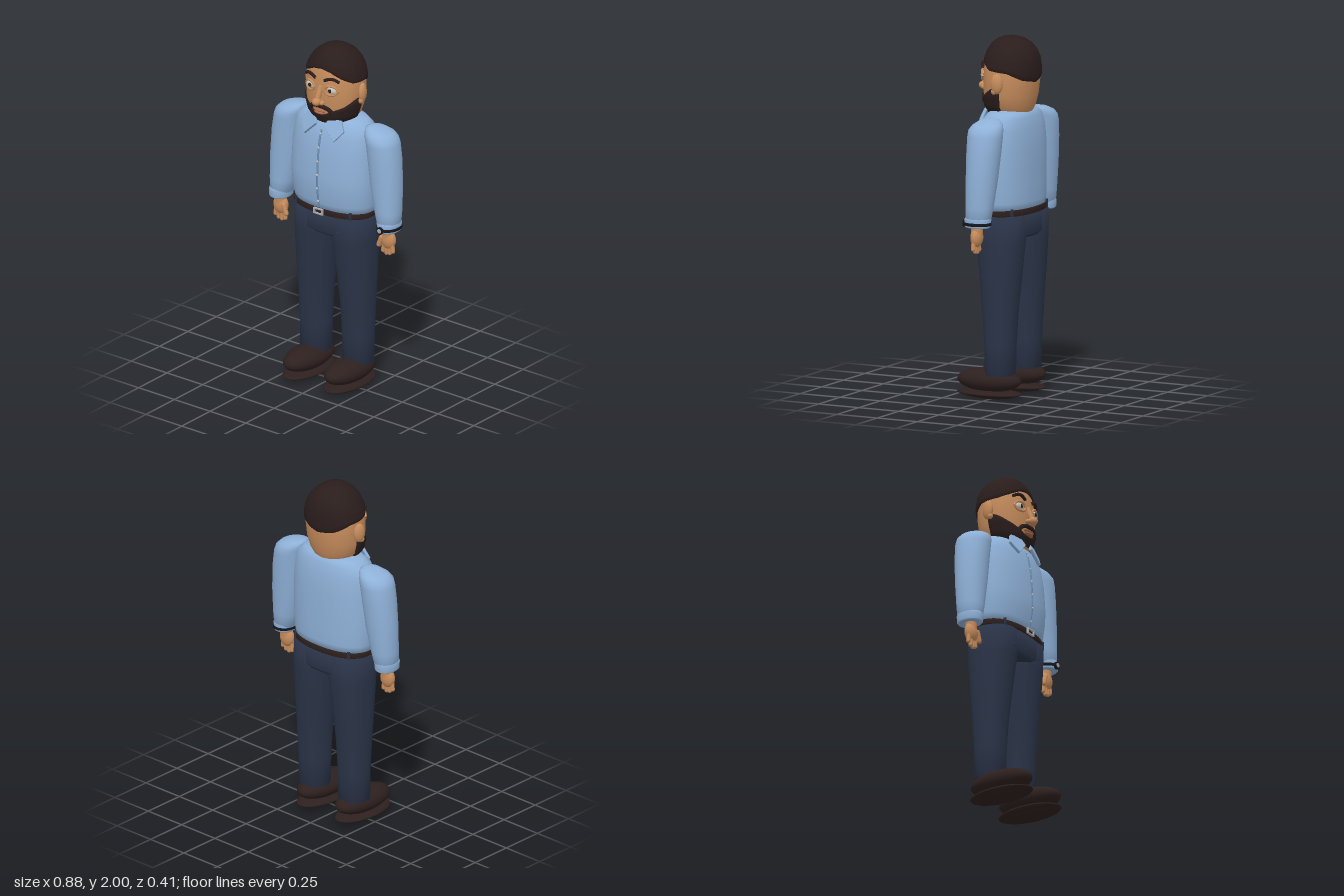
import * as THREE from 'three';

const mat = (name, color) => Object.assign(new THREE.MeshStandardMaterial({ color }), { name });

// Point on a ring [y, cx, rx, zFront, zBack]; angle 0 is the front, n squares the oval
function ringPoint([y, cx, rx, zf, zb], t, n = 2, grow = 0) {
  const p = (v) => Math.sign(v) * Math.abs(v) ** (2 / n);
  return [cx + (rx + grow) * p(Math.sin(t)), y, (zf + zb) / 2 + ((zf - zb) / 2 + grow) * p(Math.cos(t))];
}

// Interpolate a table of rows by its first column
function sample(rows, y) {
  let i = 0;
  while (i < rows.length - 2 && rows[i + 1][0] < y) i++;
  const k = THREE.MathUtils.clamp((y - rows[i][0]) / (rows[i + 1][0] - rows[i][0]), 0, 1);
  return rows[i].map((v, j) => v + (rows[i + 1][j] - v) * k);
}

// Surface over a grid of points; closed in the around direction if asked
function grid(rows, cols, closed, point) {
  const pos = [], idx = [], w = closed ? cols : cols + 1;
  for (let i = 0; i <= rows; i++) for (let j = 0; j < w; j++) pos.push(...point(i / rows, j / cols, i));
  for (let i = 0; i < rows; i++) for (let j = 0; j < cols; j++) {
    const a = i * w + j, b = i * w + (j + 1) % w, c = a + w, d = b + w;
    idx.push(a, b, d, a, d, c);
  }
  const g = new THREE.BufferGeometry();
  g.setAttribute('position', new THREE.Float32BufferAttribute(pos, 3));
  g.setIndex(idx);
  g.computeVertexNormals();
  return g;
}

// Closed body through rings listed bottom to top, with both ends capped
function loft(rings, n = 2, seg = 40) {
  const cap = (r) => [r[0], r[1], 0.001, (r[3] + r[4]) / 2 + 0.001, (r[3] + r[4]) / 2 - 0.001];
  const all = [cap(rings[0]), ...rings, cap(rings[rings.length - 1])];
  return grid(all.length - 1, seg, true, (u, v, i) => ringPoint(all[i], v * Math.PI * 2, n));
}

const TORSO = [
  [1.05, 0, 0.25, 0.095, -0.195], [1.1, 0, 0.26, 0.108, -0.2], [1.18, 0, 0.267, 0.118, -0.2],
  [1.25, 0, 0.27, 0.12, -0.2], [1.4, 0, 0.266, 0.11, -0.2], [1.5, 0, 0.256, 0.092, -0.19],
  [1.56, 0, 0.237, 0.07, -0.175], [1.59, 0, 0.19, 0.045, -0.16], [1.605, 0, 0.12, 0.02, -0.13]];
const SLEEVE = [
  [1.0, 0.378, 0.056, 0.03, -0.11], [1.1, 0.366, 0.075, 0.031, -0.122], [1.25, 0.35, 0.09, 0.036, -0.138],
  [1.4, 0.335, 0.094, 0.04, -0.15], [1.49, 0.322, 0.092, 0.042, -0.155], [1.525, 0.312, 0.09, 0.04, -0.152],
  [1.55, 0.295, 0.08, 0.025, -0.14], [1.57, 0.27, 0.055, 0, -0.115], [1.578, 0.25, 0.02, -0.03, -0.08]];
const LEG = [
  [0.14, 0.147, 0.088, 0.025, -0.14], [0.3, 0.147, 0.089, 0.028, -0.143], [0.5, 0.146, 0.096, 0.042, -0.156],
  [0.7, 0.139, 0.11, 0.062, -0.174], [0.88, 0.13, 0.121, 0.082, -0.189], [1.03, 0.126, 0.123, 0.09, -0.19]];
const HEAD = [
  [1.55, 0, 0.09, 0.05, -0.14], [1.58, 0, 0.118, 0.072, -0.158], [1.62, 0, 0.148, 0.088, -0.173],
  [1.68, 0, 0.166, 0.096, -0.187], [1.76, 0, 0.172, 0.098, -0.196], [1.83, 0, 0.17, 0.094, -0.197],
  [1.88, 0, 0.157, 0.086, -0.192], [1.92, 0, 0.135, 0.074, -0.178], [1.955, 0, 0.104, 0.052, -0.152],
  [1.98, 0, 0.066, 0.02, -0.115], [1.99, 0, 0.03, -0.015, -0.08]];
// Angle from the front, height of the hair edge, height of the beard edge
const HAIRLINE = [[0, 1.895], [0.35, 1.885], [0.8, 1.85], [1.2, 1.825], [1.9, 1.815], [2.5, 1.775], [3.15, 1.755]];
const BEARDLINE = [[0, 1.632], [0.2, 1.635], [0.4, 1.655], [0.9, 1.69], [1.3, 1.725], [1.65, 1.74]];

export function createModel() {
  const skin = mat('skin', 0xc68c5c), hairMat = mat('hair', 0x2a1d1c), shirt = mat('shirt', 0x8fb1d8);
  const navy = mat('trousers', 0x2a3347), leather = mat('leather', 0x2d201e), silver = mat('silver', 0xa9adb3);
  const black = mat('black', 0x16161a), white = mat('eyeWhite', 0xc9c5bd), lip = mat('lips', 0xa86a4c);
  const seam = mat('shirtSeam', 0x6f8fb5);
  hairMat.side = THREE.DoubleSide;

  const root = new THREE.Group();
  root.name = 'man';
  const add = (name, geo, material, x = 0, y = 0, z = 0) => {
    const m = new THREE.Mesh(geo, material);
    m.name = name;
    m.position.set(x, y, z);
    root.add(m);
    return m;
  };
  const ball = (name, material, x, y, z, rx, ry, rz) => {
    const m = add(name, new THREE.SphereGeometry(1, 28, 18), material, x, y, z);
    m.scale.set(rx, ry, rz);
    return m;
  };
  const tube = (name, material, pts, r) => add(name, new THREE.TubeGeometry(
    new THREE.CatmullRomCurve3(pts.map((p) => new THREE.Vector3(...p))), 24, r, 8), material);
  const frontZ = (rows, x, y, n) => {
    const r = sample(rows, y);
    return (r[3] + r[4]) / 2 + (r[3] - r[4]) / 2 * (1 - Math.abs(x / r[2]) ** n) ** (1 / n);
  };

  // Torso, trousers top and belt
  add('shirtBody', loft(TORSO, 2.3, 56), shirt);
  add('hips', loft([[0.9, 0, 0.2, 0.07, -0.18], [0.92, 0, 0.247, 0.09, -0.192], [1.035, 0, 0.25, 0.096, -0.195]], 2.3, 56), navy);
  const belt = [[1.03, 0, 0.25, 0.1, -0.198], [1.035, 0, 0.256, 0.106, -0.203],
    [1.06, 0, 0.256, 0.106, -0.203], [1.065, 0, 0.25, 0.1, -0.198]];
  add('belt', loft(belt, 2.3, 56), leather);
  for (const [x, y, w, h] of [[0, 1.062, 0.062, 0.007], [0, 1.034, 0.062, 0.007], [0.028, 1.048, 0.007, 0.034], [-0.028, 1.048, 0.007, 0.034]])
    add('buckle', new THREE.BoxGeometry(w, h, 0.012), silver, x, y, 0.11);

  // Shirt front with buttons
  const ys = [1.08, 1.18, 1.25, 1.4, 1.5, 1.53];
  tube('placket', seam, ys.map((y) => [0, y, frontZ(TORSO, 0, y, 2.3)]), 0.006);
  for (let i = 0; i < 6; i++) {
    const y = 1.11 + i * 0.08;
    ball('button', white, 0, y, frontZ(TORSO, 0, y, 2.3) + 0.005, 0.007, 0.007, 0.004);
  }

  // Head, hair with combed ridges at the front, beard
  add('head', loft(HEAD, 2.15, 56), skin);
  add('hair', grid(22, 200, true, (u, v) => {
    const t = v * Math.PI * 2, a = Math.min(t, Math.PI * 2 - t);
    const low = sample(HAIRLINE, a)[1], y = low + (1.99 - low) * Math.sin(u * Math.PI / 2);
    const ridge = 0.002 * Math.sin(t * 50 + y * 60) * Math.max(0, Math.cos(t)) * (1 - u);
    const p = ringPoint(sample(HEAD, y), t, 2.15, u === 0 ? 0 : 0.008 + ridge);
    return u === 1 ? [0, 2, -0.048] : [p[0], p[1] + 0.009 * u, p[2]];
  }), hairMat);
  add('beard', grid(12, 60, false, (u, v) => {
    const t = (v - 0.5) * 3.3, top = sample(BEARDLINE, Math.abs(t))[1];
    const edge = u === 1 || v === 0 || v === 1;
    return ringPoint(sample(HEAD, 1.575 + (top - 1.575) * u), t, 2.15, edge ? -0.001 : 0.009);
  }), hairMat);

  // Nose and mouth
  tube('noseBridge', skin, [[0, 1.8, 0.088], [0, 1.76, 0.105], [0, 1.72, 0.122]], 0.016);
  ball('noseTip', skin, 0, 1.713, 0.125, 0.025, 0.023, 0.029);
  ball('upperLip', lip, 0, 1.655, 0.1, 0.042, 0.008, 0.016);
  ball('lowerLip', lip, 0, 1.641, 0.099, 0.036, 0.009, 0.017);

  for (const s of [-1, 1]) {
    // Face details
    ball('nostril', skin, s * 0.023, 1.707, 0.11, 0.016, 0.014, 0.018);
    tube('moustache', hairMat, [[0, 1.681, 0.103], [s * 0.03, 1.68, 0.102], [s * 0.06, 1.667, 0.092], [s * 0.078, 1.64, 0.08]], 0.012);
    ball('eyeball', white, s * 0.072, 1.786, 0.075, 0.034, 0.026, 0.025);
    ball('iris', leather, s * 0.07, 1.786, 0.098, 0.011, 0.011, 0.004);
    for (const [name, dir] of [['upperLid', 1], ['lowerLid', -1]])
      tube(name, skin, [-1, -0.6, 0, 0.6, 1].map((k) => [s * 0.072 + k * 0.038, 1.786 + dir * 0.027 * Math.sqrt(1 - k * k), 0.094 - 0.012 * k * s * s - 0.006 * k * k + (s < 0 ? 0.024 * k : 0)]), 0.007);
    tube('eyebrow', hairMat, [[s * 0.03, 1.838, 0.096], [s * 0.065, 1.854, 0.093], [s * 0.09, 1.853, 0.083], [s * 0.115, 1.838, 0.07]], 0.009);
    ball('ear', skin, s * 0.18, 1.757, -0.052, 0.022, 0.056, 0.034).rotation.y = s * 0.25;
    ball('earLobe', skin, s * 0.183, 1.715, -0.035, 0.014, 0.018, 0.016);

    // Collar flap
    const flap = new THREE.Shape([[0.045, 1.605], [0.115, 1.605], [0.142, 1.55], [0.1, 1.487], [0.028, 1.555]]
      .map(([x, y]) => new THREE.Vector2(s * (x - 0.085), y - 1.55)));
    const collar = add('collar', new THREE.ExtrudeGeometry(flap, { depth: 0.012, bevelSize: 0.003, bevelThickness: 0.003, bevelSegments: 2 }), shirt, s * 0.085, 1.55, 0.075);
    collar.rotation.set(-0.4, s * 0.25, 0);

    // Arm with cuff
    const side = (rows) => rows.map((r) => [r[0], s * r[1], ...r.slice(2)]);
    add('sleeve', loft(side(SLEEVE), 2.1), shirt);
    add('cuff', loft(side([[0.99, 0.378, 0.054, 0.028, -0.108], [0.997, 0.378, 0.06, 0.034, -0.114],
      [1.035, 0.377, 0.063, 0.036, -0.117], [1.045, 0.376, 0.058, 0.03, -0.112]]), 2.1), shirt);

    // Hand
    add('wrist', new THREE.CylinderGeometry(0.032, 0.032, 0.06, 20), skin, s * 0.376, 0.975, -0.035);
    ball('palm', skin, s * 0.376, 0.934, -0.034, 0.047, 0.056, 0.032);
    for (let i = 0; i < 4; i++) {
      const x = 0.345 + i * 0.021, drop = [0.848, 0.839, 0.843, 0.858][i];
      const finger = add('finger', new THREE.CapsuleGeometry(0.0125, 0.92 - drop - 0.025, 5, 12), skin, s * x, (0.92 + drop) / 2, -0.03);
      finger.rotation.z = s * (i - 1.5) * 0.06;
    }
    const thumb = add('thumb', new THREE.CapsuleGeometry(0.014, 0.05, 5, 12), skin, s * 0.333, 0.92, -0.015);
    thumb.rotation.z = -s * 0.35;

    // Leg, belt loops, pocket edge and shoe
    add('trouserLeg', loft(side(LEG), 2.2), navy);
    for (const back of [false, true]) {
      const p = ringPoint(belt[1], s * (back ? 2.3 : 0.78), 2.3);
      add('beltLoop', new THREE.BoxGeometry(0.012, 0.05, 0.012), navy, p[0], 1.047, p[2]);
    }
    tube('pocketEdge', navy, [[s * 0.11, 0.935, 0.085], [s * 0.16, 0.937, 0.066], [s * 0.2, 0.955, 0.04]], 0.006);
    ball('shoeUpper', leather, s * 0.143, 0.105, 0.014, 0.098, 0.066, 0.193);
    ball('shoeSole', leather, s * 0.143, 0.032, 0.014, 0.1, 0.022, 0.196);
    ball('shoeTread', leather, s * 0.143, 0.026, 0.014, 0.075, 0.026, 0.165);
  }

  // Watch on the left wrist
  const strap = [[1.0, 0.378, 0.058, 0.03, -0.11], [1.004, 0.378, 0.065, 0.039, -0.119], [1.018, 0.378, 0.065, 0.039, -0.119], [1.022, 0.378, 0.058, 0.03, -0.11]];
  add('watchStrap', loft(strap), black);
  add('watchCase', new THREE.CylinderGeometry(0.021, 0.021, 0.014, 24), black, 0.375, 1.01, 0.039).rotation.x = Math.PI / 2;
  add('watchFace', new THREE.CylinderGeometry(0.013, 0.013, 0.004, 24), silver, 0.375, 1.01, 0.046).rotation.x = Math.PI / 2;

  return root;
}
